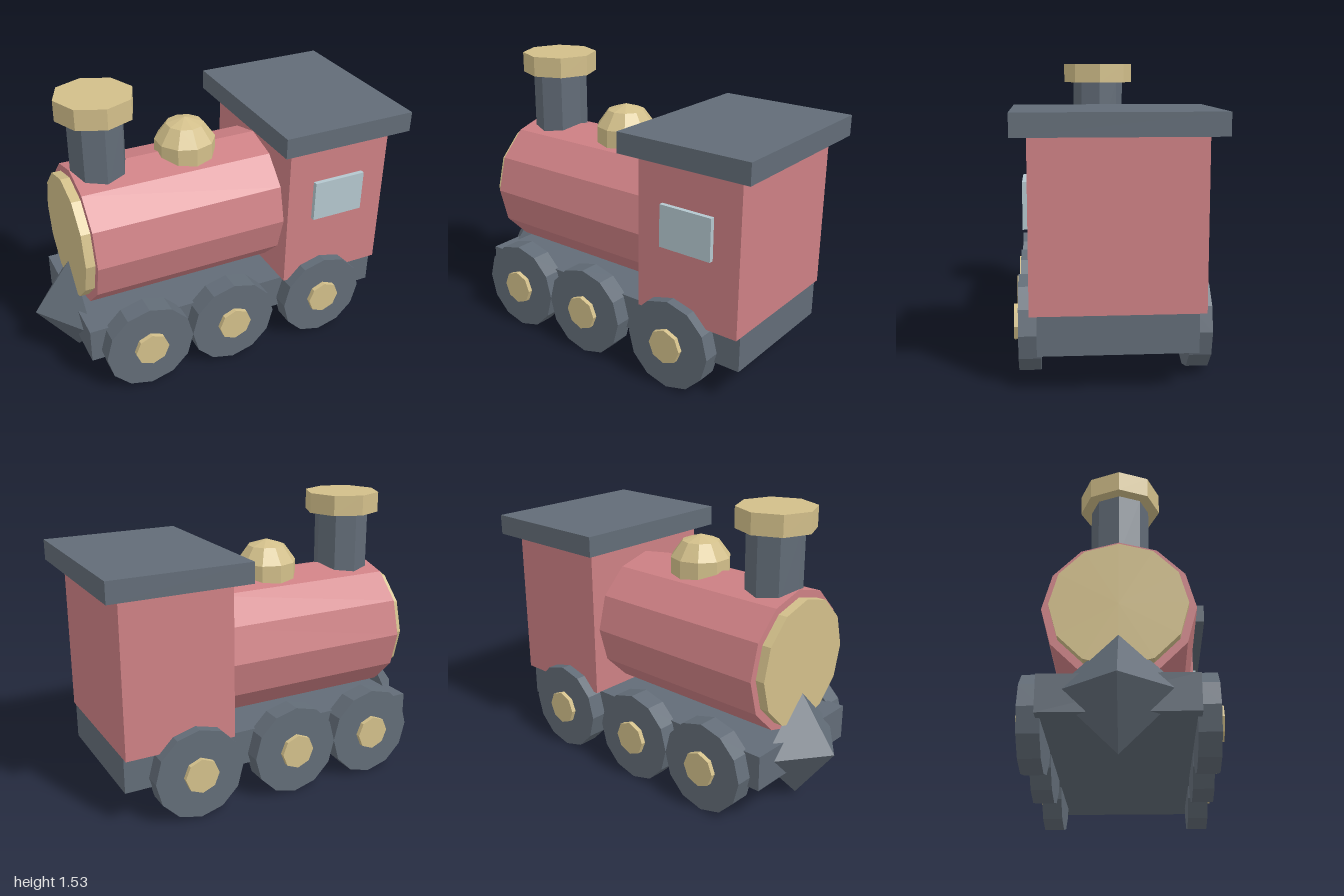
import * as THREE from 'three';

const flat = (name, color) => {
  const m = new THREE.MeshStandardMaterial({ color, flatShading: true });
  m.name = name;
  return m;
};

export function createModel() {
  const red = flat('red paint', 0xcd8084);
  const slate = flat('slate grey', 0x626c77);
  const brass = flat('brass', 0xd2bf8a);
  const glass = flat('window glass', 0xb4c7ce);

  const train = new THREE.Group();
  train.name = 'toyLocomotive';

  const add = (name, geometry, material, x, y, z, parent = train) => {
    const mesh = new THREE.Mesh(geometry, material);
    mesh.name = name;
    mesh.position.set(x, y, z);
    parent.add(mesh);
    return mesh;
  };

  // Box given by its limits on each axis
  const box = (name, material, [x0, x1], [y0, y1], [z0, z1]) =>
    add(name, new THREE.BoxGeometry(x1 - x0, y1 - y0, z1 - z0), material,
      (x0 + x1) / 2, (y0 + y1) / 2, (z0 + z1) / 2);

  const cylinder = (radius, length, sides) =>
    new THREE.CylinderGeometry(radius, radius, length, sides);

  // Chassis, cab and roof
  box('chassis', slate, [-0.81, 0.92], [0.19, 0.38], [-0.38, 0.38]);
  box('cab', red, [0.32, 0.92], [0.38, 1.21], [-0.415, 0.415]);
  box('roof', slate, [0.245, 1], [1.21, 1.32], [-0.49, 0.49]);

  // Raised window on the front-facing side only
  box('window', glass, [0.47, 0.77], [0.76, 0.985], [0.41, 0.44]);

  // Boiler lying along x, with its brass end plate
  add('boiler', cylinder(0.377, 1.06, 12).rotateZ(Math.PI / 2), red, -0.21, 0.755, 0);
  add('boilerPlate', cylinder(0.337, 0.05, 12).rotateZ(Math.PI / 2), brass, -0.765, 0.755, 0);

  // Chimney and cap
  add('chimney', cylinder(0.15, 0.36, 8), slate, -0.585, 1.24, 0);
  add('chimneyCap', cylinder(0.207, 0.11, 8), brass, -0.585, 1.475, 0);

  // Steam dome, half sunk in the boiler
  add('steamDome', new THREE.SphereGeometry(0.173, 10, 5).rotateY(Math.PI / 2), brass, -0.095, 1.132, 0);

  // Pointed four-sided cowcatcher, tip towards -x
  add('cowcatcher', new THREE.ConeGeometry(0.303, 0.225, 4).rotateZ(Math.PI / 2), slate, -0.8875, 0.303, 0);

  // Three wheels with brass hubs on each side
  const wheelGeometry = cylinder(0.245, 0.11, 12).rotateX(Math.PI / 2);
  const hubGeometry = cylinder(0.094, 0.04, 8).rotateX(Math.PI / 2);
  for (const side of [1, -1]) {
    for (const x of [-0.51, -0.02, 0.545]) {
      const wheel = new THREE.Group();
      wheel.name = side > 0 ? 'frontSideWheel' : 'backSideWheel';
      wheel.position.set(x, 0.245, 0);
      add('tyre', wheelGeometry, slate, 0, 0, side * 0.415, wheel);
      add('hub', hubGeometry, brass, 0, 0, side * 0.475, wheel);
      train.add(wheel);
    }
  }

  return train;
}
